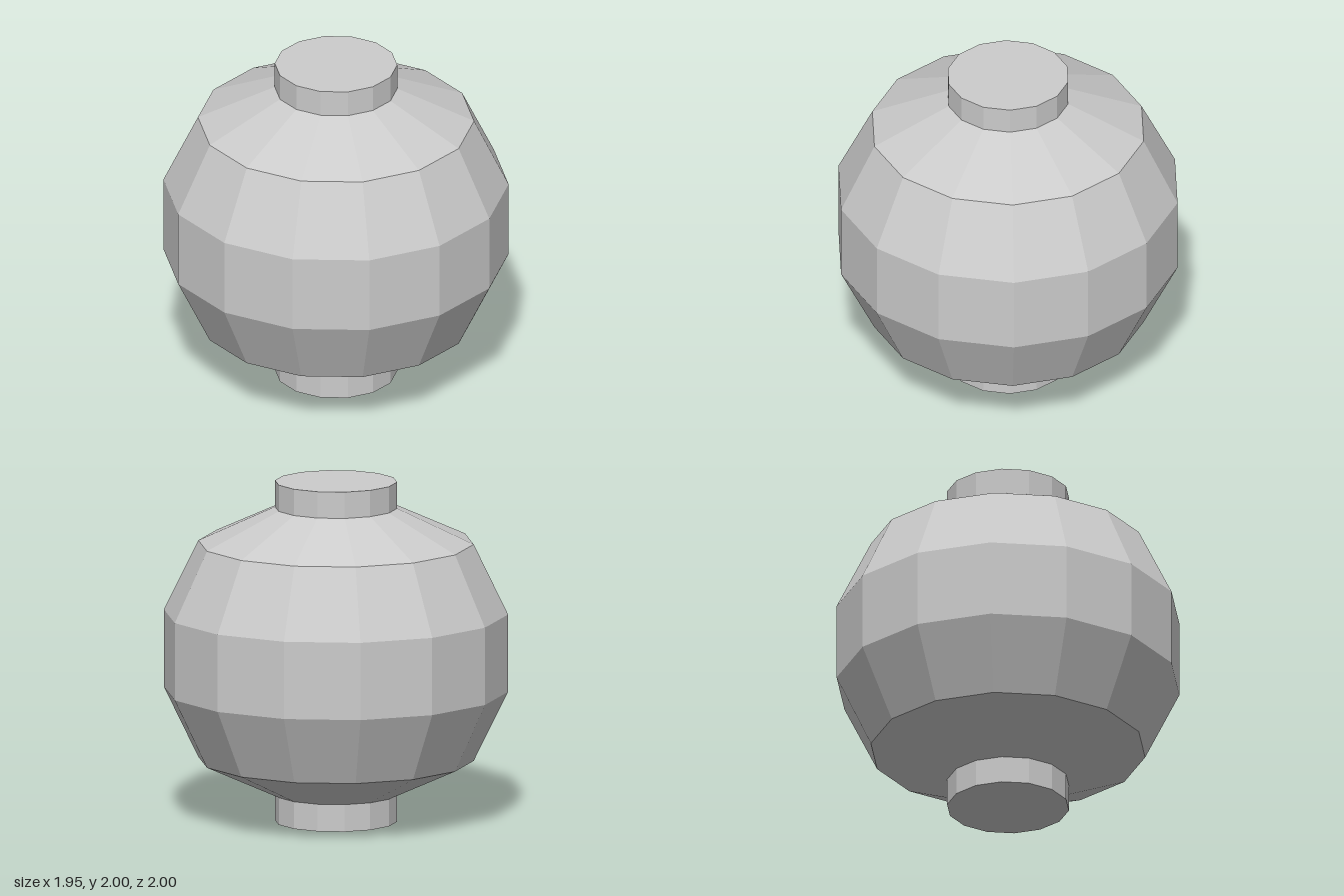
import * as THREE from 'three';

const SIDES = 14;
const CAP_RADIUS = 0.355;

export function createModel() {
  const group = new THREE.Group();
  group.name = 'roundLantern';
  const material = new THREE.MeshStandardMaterial({ color: 0xcccccc, flatShading: true });

  // Revolves a bottom-to-top [radius, y] profile into a faceted part
  const addLathe = (name, profile) => {
    const points = profile.map(([r, y]) => new THREE.Vector2(r, y));
    const mesh = new THREE.Mesh(new THREE.LatheGeometry(points, SIDES), material);
    mesh.name = name;
    group.add(mesh);
  };

  // Short end collars, each closed by a flat disc
  addLathe('bottomCap', [[0, 0], [CAP_RADIUS, 0], [CAP_RADIUS, 0.16]]);
  addLathe('topCap', [[CAP_RADIUS, 1.845], [CAP_RADIUS, 2], [0, 2]]);

  // Faceted round body
  addLathe('body', [
    [CAP_RADIUS, 0.16],
    [0.8, 0.365],
    [1, 0.775],
    [1, 1.23],
    [0.8, 1.64],
    [CAP_RADIUS, 1.845],
  ]);

  return group;
}
